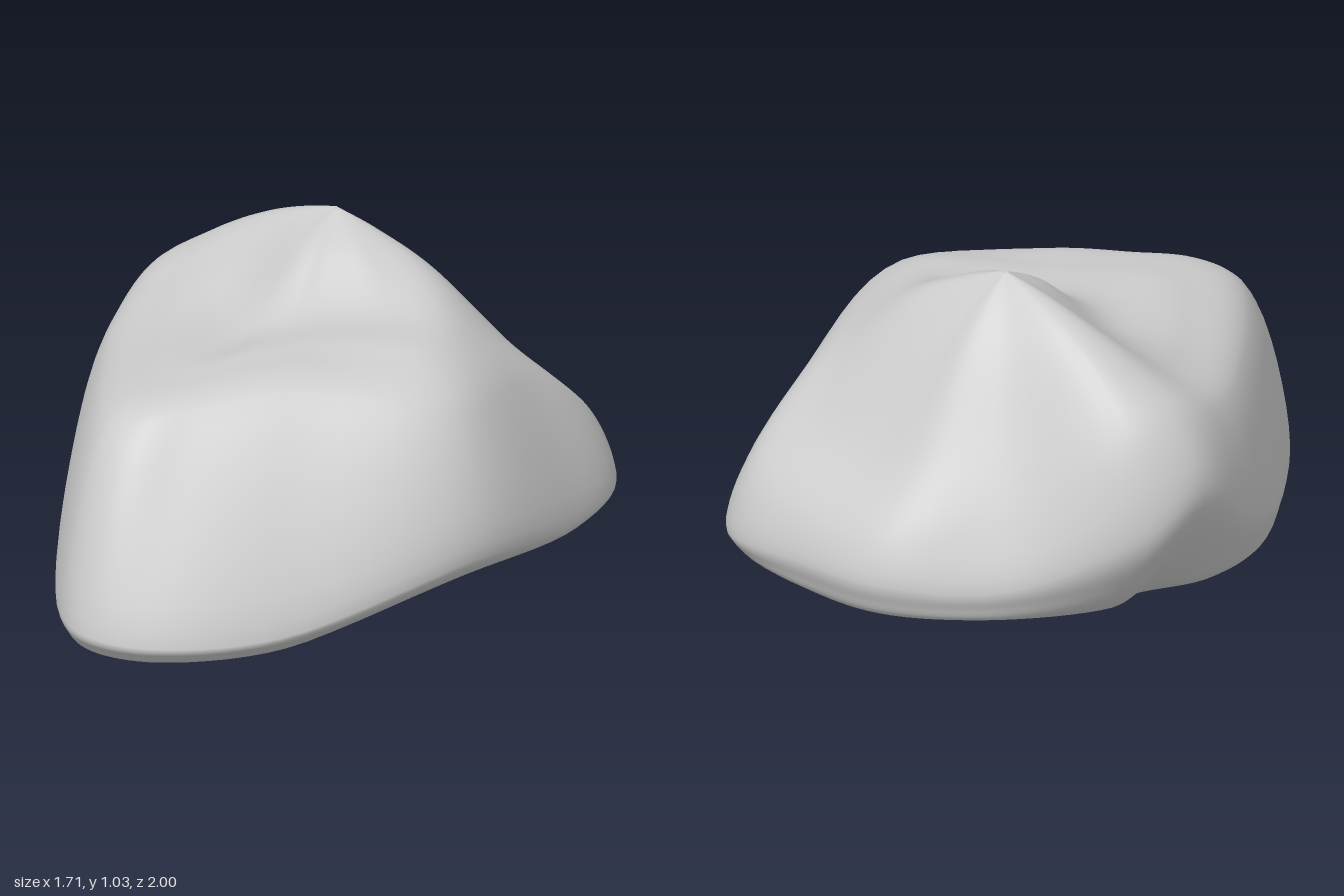
import * as THREE from 'three';
import { mergeVertices } from 'three/addons/utils/BufferGeometryUtils.js';

// Peak of the boulder and centre of its underside
const PEAK = new THREE.Vector3(-0.12, 1.03, -0.35);
const BASE = new THREE.Vector3(0, 0.035, 0);

// Profiles running from the peak to the ground, ordered right, front, left, back.
// Each: widest point x, z, y, then (fraction of the way out, height) for the
// shoulder, plateau and inner slope, then the fraction for the foot.
const PROFILES = [
  [0.85, 0.0, 0.26, 0.85, 0.69, 0.65, 0.815, 0.38, 0.85, 0.62],
  [0.6, 0.6, 0.1, 0.69, 0.76, 0.49, 0.81, 0.29, 0.825, 0.9],
  [0.35, 0.91, 0.08, 0.7, 0.73, 0.5, 0.79, 0.3, 0.805, 0.95],
  [0.15, 1.0, 0.09, 0.78, 0.69, 0.58, 0.765, 0.31, 0.785, 0.95],
  [-0.02, 0.94, 0.1, 0.84, 0.66, 0.61, 0.75, 0.32, 0.78, 0.95],
  [-0.51, 0.43, 0.15, 0.87, 0.62, 0.65, 0.72, 0.39, 0.79, 0.94],
  [-0.73, 0.1, 0.28, 0.89, 0.64, 0.67, 0.745, 0.4, 0.85, 0.82],
  [-0.85, -0.2, 0.47, 0.88, 0.69, 0.65, 0.82, 0.38, 0.93, 0.64],
  [-0.81, -0.4, 0.37, 0.88, 0.64, 0.65, 0.81, 0.38, 0.93, 0.74],
  [-0.5, -0.72, 0.18, 0.87, 0.38, 0.6, 0.65, 0.33, 0.87, 0.92],
  [-0.2, -0.96, 0.18, 0.92, 0.32, 0.65, 0.54, 0.3, 0.86, 0.92],
  [0.1, -1.0, 0.18, 0.93, 0.31, 0.65, 0.51, 0.3, 0.835, 0.92],
  [0.5, -0.94, 0.15, 0.91, 0.36, 0.65, 0.54, 0.33, 0.82, 0.92],
  [0.72, -0.58, 0.17, 0.79, 0.6, 0.61, 0.74, 0.37, 0.9, 0.83],
];

// Smooth curve down one profile, continued under the boulder
function profileCurve([x, z, y, tS, yS, tP, yP, tI, yI, tF]) {
  const mix = THREE.MathUtils.lerp;
  const at = (t, h) => new THREE.Vector3(mix(PEAK.x, x, t), h, mix(PEAK.z, z, t));
  // The underside lifts slightly towards the sides and back
  const yF = Math.max(0.01, 0.015 + 0.05 * Math.abs(x) - 0.045 * z);
  const foot = at(tF, yF);
  return new THREE.CatmullRomCurve3([
    PEAK,
    at(tI * 0.4, mix(PEAK.y, yI, 0.33)),
    at(tI, yI),
    at(tP, yP),
    at(tS, yS),
    at(1, y),
    at(mix(1, tF, 0.3), mix(y, yF, 0.52)),
    foot,
    foot.clone().lerp(BASE, 0.4),
    BASE,
  ]);
}

// Skin of closed smooth rings threaded through all the profiles
function boulderGeometry(rows = 72, cols = 98) {
  const curves = PROFILES.map(profileCurve);
  const positions = [];
  const index = [];
  for (let j = 0; j <= rows; j++) {
    const ring = new THREE.CatmullRomCurve3(curves.map((c) => c.getPoint(j / rows)), true);
    for (let i = 0; i < cols; i++) {
      const p = j === 0 ? PEAK : j === rows ? BASE : ring.getPoint(i / cols);
      positions.push(p.x, p.y, p.z);
      if (j === rows) continue;
      const a = j * cols + i;
      const b = j * cols + ((i + 1) % cols);
      if (j > 0) index.push(a, b, a + cols);
      if (j < rows - 1) index.push(b, b + cols, a + cols);
    }
  }
  let geometry = new THREE.BufferGeometry();
  geometry.setAttribute('position', new THREE.Float32BufferAttribute(positions, 3));
  geometry.setIndex(index);
  geometry = mergeVertices(geometry);

  // Rest on the ground, centred
  geometry.computeBoundingBox();
  const { min } = geometry.boundingBox;
  const centre = geometry.boundingBox.getCenter(new THREE.Vector3());
  geometry.translate(-centre.x, -min.y, -centre.z);
  geometry.computeVertexNormals();
  return geometry;
}

export function createModel() {
  const group = new THREE.Group();
  group.name = 'rock';
  const boulder = new THREE.Mesh(
    boulderGeometry(),
    new THREE.MeshStandardMaterial({ color: 0xcccccc }),
  );
  boulder.name = 'boulder';
  group.add(boulder);
  return group;
}
